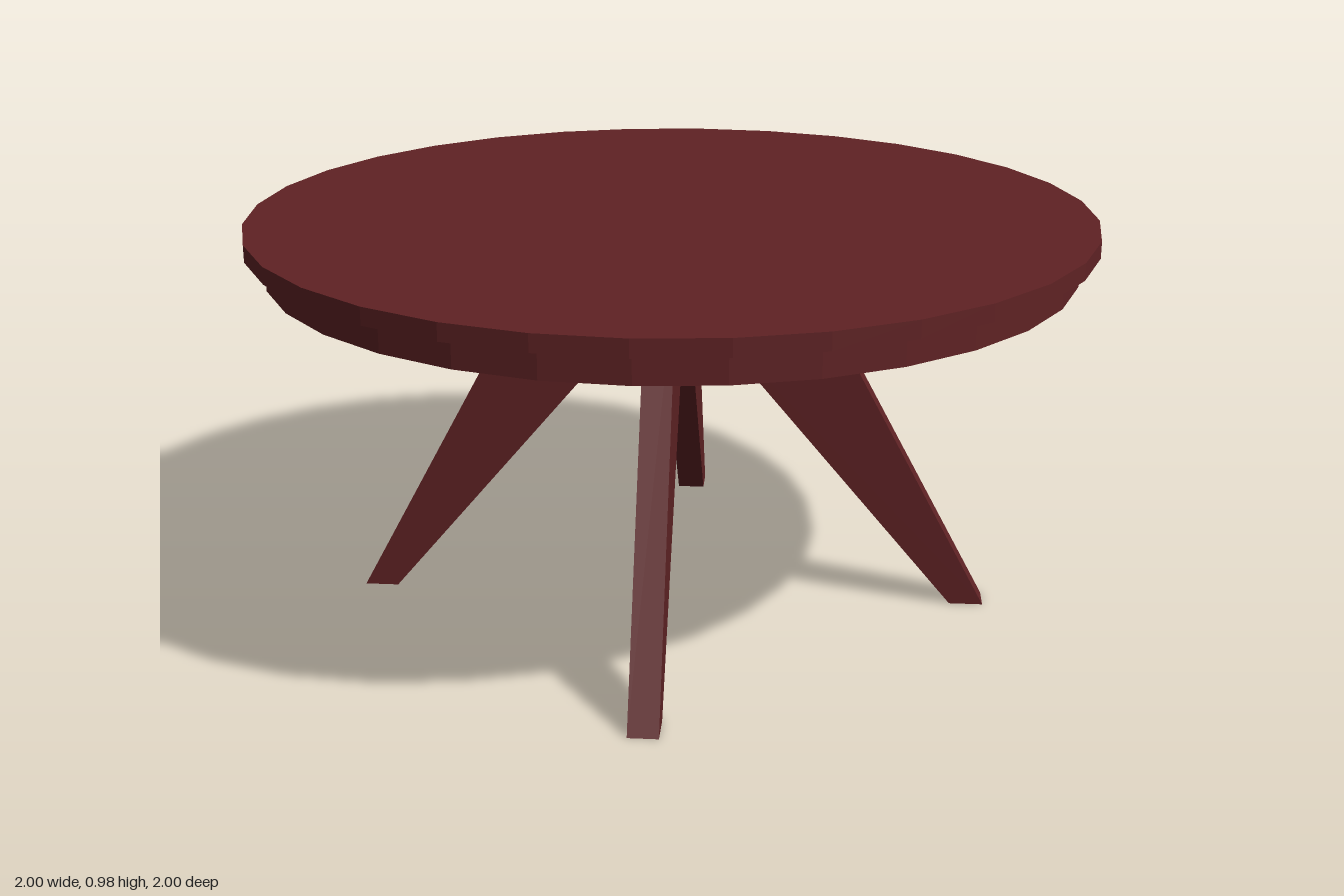
import * as THREE from 'three';

export function createModel() {
  const table = new THREE.Group();
  table.name = 'roundTable';
  const wood = new THREE.MeshStandardMaterial({ color: 0x5f2224, flatShading: true });
  wood.name = 'mahogany';

  const add = (name, geometry) => {
    const mesh = new THREE.Mesh(geometry, wood);
    mesh.name = name;
    table.add(mesh);
    return mesh;
  };

  const sides = 32;
  const slabBottom = 0.935, slabTop = 0.975, apronBottom = 0.865;

  // Table top slab
  add('tableTop', new THREE.CylinderGeometry(1, 1, slabTop - slabBottom, sides))
    .position.y = (slabTop + slabBottom) / 2;

  // Hollow apron ring beneath the slab
  const ring = [[0.91, slabBottom], [0.91, apronBottom], [0.955, apronBottom], [0.955, slabBottom]]
    .map(([r, y]) => new THREE.Vector2(r, y));
  add('apron', new THREE.LatheGeometry(ring, sides));

  // Tapered board legs that splay outward and meet at the centre
  const thickness = 0.07;
  const outline = new THREE.Shape([[0, 0.82], [0.695, 0], [0.777, 0], [0.272, slabBottom], [0, slabBottom]]
    .map(([x, y]) => new THREE.Vector2(x, y)));
  const legGeometry = new THREE.ExtrudeGeometry(outline, { depth: thickness, bevelEnabled: false });
  legGeometry.translate(0, 0, -thickness / 2);
  ['leftLeg', 'backLeg', 'rightLeg', 'frontLeg'].forEach((name, i) => {
    add(name, legGeometry).rotation.y = i * Math.PI / 2;
  });

  return table;
}
